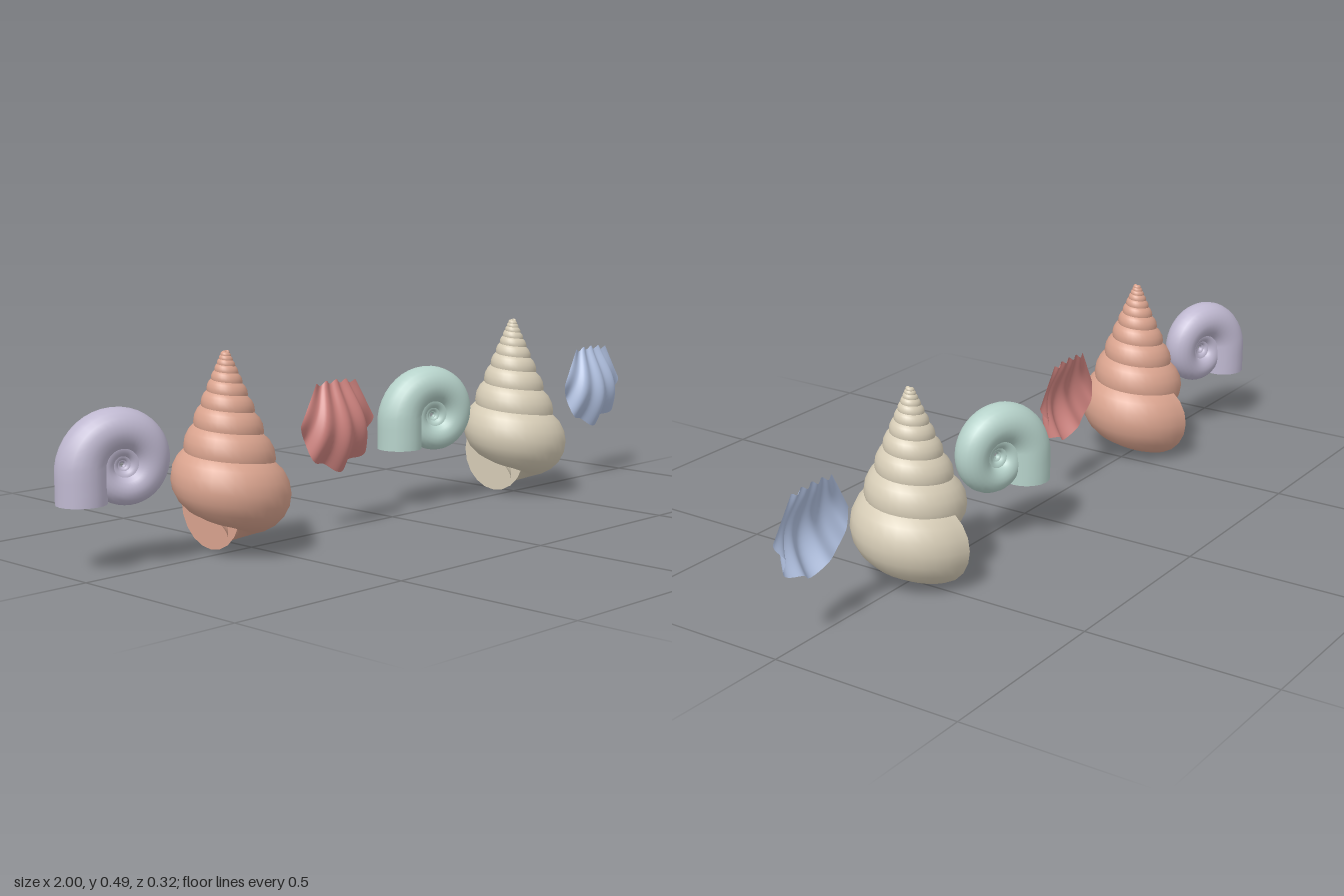
import * as THREE from 'three';

const SIDES = 20;

function buildMesh(name, positions, indices, color, side = THREE.FrontSide) {
  const geometry = new THREE.BufferGeometry();
  geometry.setAttribute('position', new THREE.Float32BufferAttribute(positions, 3));
  geometry.setIndex(indices);
  geometry.computeVertexNormals();
  const mesh = new THREE.Mesh(geometry, new THREE.MeshStandardMaterial({ color, side }));
  mesh.name = name;
  return mesh;
}

// Sweeps a round section along a coil; each ring has a centre, two section axes and a radius.
// The mouth is closed by a flat disc.
function coil(name, rings, color) {
  const positions = [], indices = [];
  const ringPoint = ({ center, a, b, r }, j) => {
    const psi = (j / SIDES) * Math.PI * 2;
    return center.clone().addScaledVector(a, r * Math.cos(psi)).addScaledVector(b, r * Math.sin(psi));
  };
  rings.forEach((ring, i) => {
    for (let j = 0; j < SIDES; j++) {
      positions.push(...ringPoint(ring, j).toArray());
      if (i === rings.length - 1) continue;
      const k = (j + 1) % SIDES;
      const p = i * SIDES + j, q = i * SIDES + k;
      indices.push(p, p + SIDES, q, q, p + SIDES, q + SIDES);
    }
  });
  const mouth = rings[rings.length - 1];
  const discPoints = [...mouth.center.toArray()], discFaces = [];
  for (let j = 0; j < SIDES; j++) {
    discPoints.push(...ringPoint(mouth, j).toArray());
    discFaces.push(0, 1 + ((j + 1) % SIDES), 1 + j);
  }
  const group = new THREE.Group();
  group.name = name;
  group.add(buildMesh('whorls', positions, indices, color));
  group.add(buildMesh('mouth', discPoints, discFaces, color, THREE.DoubleSide));
  return group;
}

// Flat coiled shell: widening spiral in the xy plane with a short straight mouth
function flatSpiral(color) {
  const turns = 3.75, steps = 150, rings = [];
  const b = new THREE.Vector3(0, 0, 1);
  for (let i = 0; i <= steps; i++) {
    const t = turns * (i / steps - 1);
    const s = 1.94 ** t, angle = Math.PI + t * Math.PI * 2;
    const a = new THREE.Vector3(Math.cos(angle), Math.sin(angle), 0);
    rings.push({ center: a.clone().multiplyScalar(0.098 * s), a, b, r: i ? 0.06 * s : 0 });
  }
  const last = rings[steps];
  for (let i = 1; i <= 3; i++) {
    const center = last.center.clone();
    center.y -= (0.085 * i) / 3;
    rings.push({ ...last, center });
  }
  return coil('flatSpiralShell', rings, color);
}

// Tall turret shell: spiral that drops and widens around the y axis, mouth at the back
function turret(color) {
  const turns = 10.5, steps = 336, rings = [];
  const b = new THREE.Vector3(0, 1, 0);
  for (let i = 0; i <= steps; i++) {
    const t = turns * (i / steps - 1);
    const s = 1.31 ** t, angle = Math.PI / 2 + t * Math.PI * 2;
    const a = new THREE.Vector3(Math.cos(angle), 0, -Math.sin(angle));
    const center = a.clone().multiplyScalar(0.063 * s);
    center.y = 0.51 - 0.403 * s;
    rings.push({ center, a, b, r: i ? 0.107 * s : 0 });
  }
  return coil('turretShell', rings, color);
}

// Ribbed fan: narrow hinge at the top spreading to a toothed half-round rim, domed to the front
function scallop(color) {
  const cols = 64, rows = 14, positions = [], indices = [];
  for (let i = 0; i <= rows; i++) {
    for (let j = 0; j <= cols; j++) {
      const v = i / rows, u = (j / cols) * 2 - 1;
      const rib = Math.cos(u * Math.PI * 8 / 2 * 2 / 2);
      const angle = (u * Math.PI) / 2;
      const radius = 0.122 + 0.008 * rib;
      const hingeY = 0.379 + 0.005 * rib - 0.006 * u * u - 0.27;
      const x = THREE.MathUtils.lerp(0.07 * u, radius * Math.sin(angle), v);
      const y = THREE.MathUtils.lerp(hingeY, -radius * Math.cos(angle) + 0.007, v);
      const dome = (1 - u * u) * (0.04 * Math.sin(Math.PI * v ** 1.2) + 0.008 * v);
      positions.push(x, y, -0.012 + dome + rib * (0.002 + 0.006 * v));
      if (i === rows || j === cols) continue;
      const p = i * (cols + 1) + j, q = p + cols + 1;
      indices.push(p, q, p + 1, p + 1, q, q + 1);
    }
  }
  return buildMesh('scallopShell', positions, indices, color, THREE.DoubleSide);
}

export function createModel() {
  const model = new THREE.Group();
  model.name = 'seashells';
  const sets = [
    { x: 0, colors: [0xbfb8d0, 0xd9a38e, 0xd08480] },
    { x: 1.06, colors: [0xb6d2ca, 0xd6ccb6, 0xb2c2e2] },
  ];
  for (const { x, colors } of sets) {
    const spiral = flatSpiral(colors[0]);
    spiral.position.set(x - 0.852, 0.245, -0.05);
    spiral.rotation.y = -0.35;

    const tower = turret(colors[1]);
    tower.position.set(x - 0.585, 0, 0.01);

    const fan = scallop(colors[2]);
    fan.position.set(x - 0.197, 0.27, 0);

    model.add(spiral, tower, fan);
  }
  return model;
}
